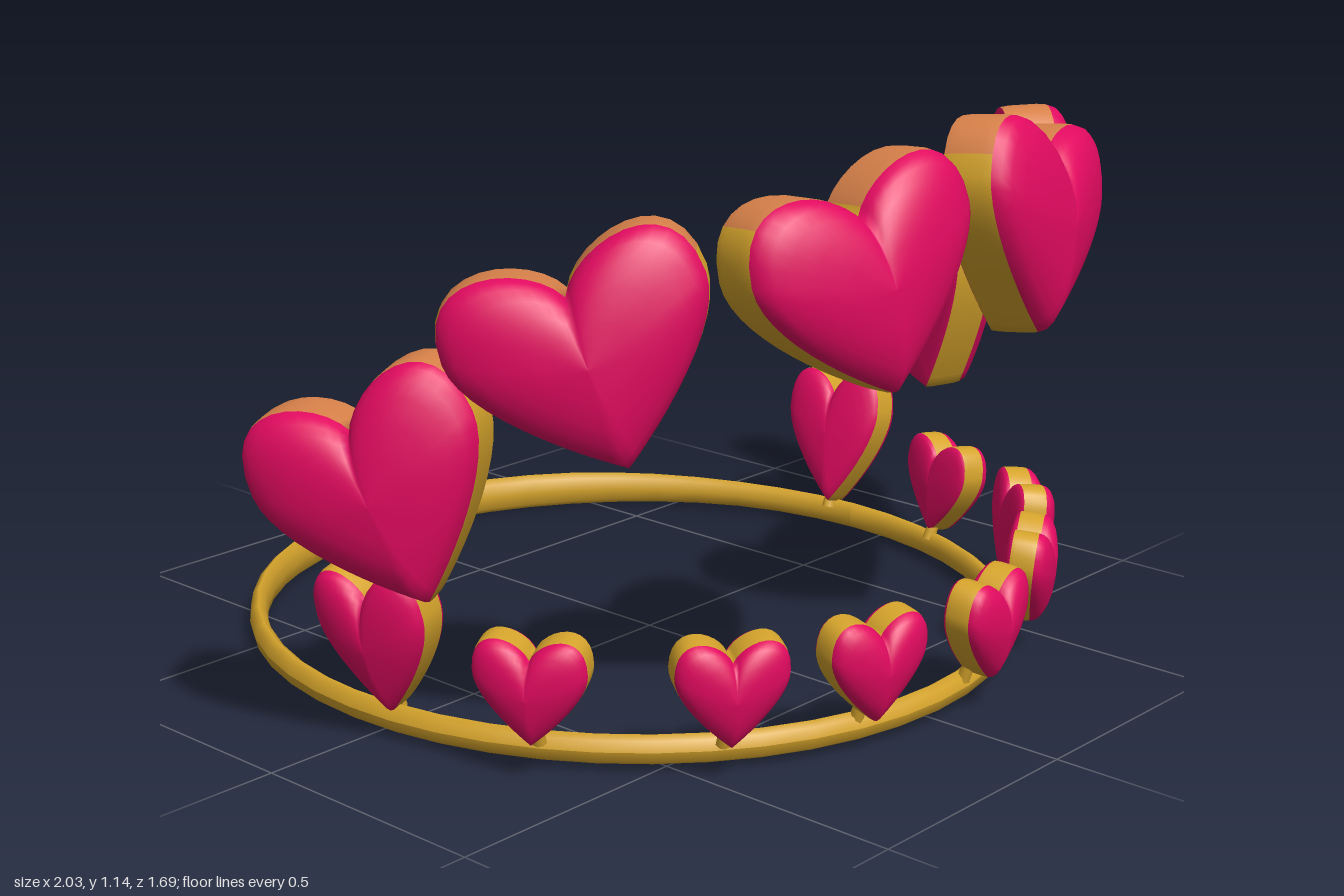
import * as THREE from 'three';

const flat = (name, color) => {
  const m = new THREE.MeshStandardMaterial({ color });
  m.name = name;
  return m;
};
const rad = THREE.MathUtils.degToRad;

// Heart outline, one unit wide and high, counter-clockwise
function heartOutline() {
  const s = new THREE.Shape();
  s.moveTo(0, 0.3);
  s.bezierCurveTo(0.08, 0.5, 0.5, 0.64, 0.5, 0.2);
  s.bezierCurveTo(0.5, -0.03, 0.17, -0.36, 0, -0.5);
  s.bezierCurveTo(-0.17, -0.36, -0.5, -0.03, -0.5, 0.2);
  s.bezierCurveTo(-0.5, 0.64, -0.08, 0.5, 0, 0.3);
  const pts = s.getPoints(12);
  pts.pop();
  return pts.reverse();
}
const OUTLINE = heartOutline();

// Skin between scaled copies of the outline, stations [scale, z] run back to front.
// Quads that face upward once the heart is rolled go to group 1, the rest to group 0.
function loft(w, h, roll, stations) {
  const n = OUTLINE.length, pos = [], sides = [], tops = [];
  for (const [s, z] of stations)
    for (const p of OUTLINE) pos.push(p.x * w * s, p.y * h * s, z);
  for (let j = 0; j < n; j++) {
    const k = (j + 1) % n;
    const dx = (OUTLINE[k].x - OUTLINE[j].x) * w, dy = (OUTLINE[k].y - OUTLINE[j].y) * h;
    const up = (dy * Math.sin(roll) - dx * Math.cos(roll)) / Math.hypot(dx, dy);
    for (let i = 0; i < stations.length - 1; i++) {
      const a = i * n + j, b = i * n + k, c = a + n, d = b + n;
      (up > 0.5 ? tops : sides).push(a, b, d, a, d, c);
    }
  }
  const g = new THREE.BufferGeometry();
  g.setAttribute('position', new THREE.Float32BufferAttribute(pos, 3));
  g.setIndex([...sides, ...tops]);
  g.addGroup(0, sides.length, 0);
  g.addGroup(sides.length, tops.length, 1);
  g.computeVertexNormals();
  return g;
}

// Heart with a rim of half-width band and domes rising by front and back
function makeHeart(name, [w, h], [band, front, back], roll, rimMats, pink) {
  const g = new THREE.Group();
  g.name = name;
  const dome = (s, rise) => rise * Math.sqrt(1 - s * s);
  const steps = [1, 0.97, 0.9, 0.78, 0.6, 0.35, 0];
  const add = (part, stations, mats) => {
    const m = new THREE.Mesh(loft(w, h, rad(roll), stations), mats);
    m.name = part;
    g.add(m);
  };
  add('heartFront', steps.map(s => [s, band + dome(s, front)]), [pink, pink]);
  add('heartRim', [[1, -band], [1.01, -band * 0.6], [1.01, band * 0.6], [1, band]], rimMats);
  add('heartBack', [...steps].reverse().map(s => [s, -band - dome(s, back)]), [pink, pink]);
  return g;
}

export function createModel() {
  const gold = flat('gold', 0xd6a42c);
  const copper = flat('copper', 0xd9824a);
  const pink = flat('pink', 0xe20a60);
  const model = new THREE.Group();
  model.name = 'heartTiara';

  // Head ring, taller toward the back
  const ringGeo = new THREE.TorusGeometry(0.75, 0.018, 8, 48);
  ringGeo.rotateX(Math.PI / 2);
  const p = ringGeo.attributes.position;
  for (let i = 0; i < p.count; i++) {
    const back = THREE.MathUtils.smoothstep(-p.getZ(i), 0.2, 0.75);
    p.setY(i, 0.045 + p.getY(i) * (1.6 + 0.65 * back));
    p.setZ(i, p.getZ(i) * 1.035 - 0.055);
  }
  ringGeo.computeVertexNormals();
  const ring = new THREE.Mesh(ringGeo, gold);
  ring.name = 'headRing';
  model.add(ring);

  const addHeart = (name, size, depth, [x, y, z], [yaw, lean, roll], rimTop) => {
    const heart = makeHeart(name, size, depth, roll, [gold, rimTop], pink);
    heart.position.set(x, y, z);
    heart.rotation.set(rad(lean), rad(yaw), rad(roll), 'YXZ');
    model.add(heart);
  };

  // Arch of large hearts: size, position, then yaw, lean and roll
  const arch = [
    [[0.48, 0.395], [-0.26, 0.89, 0.715], [-13, -5, 12]],
    [[0.5, 0.395], [0.23, 0.915, 0.715], [13, -5, -12]],
    [[0.47, 0.39], [-0.65, 0.79, 0.46], [-48, -3, 20]],
    [[0.48, 0.39], [0.645, 0.835, 0.425], [46, -3, -20]],
    [[0.44, 0.41], [-0.84, 0.535, 0.155], [-60, 0, 24]],
    [[0.46, 0.41], [0.87, 0.555, 0.03], [73, 0, -24]],
  ];
  for (const [size, pos, rot] of arch)
    addHeart('largeHeart', size, [0.046, 0.07, 0.015], pos, rot, copper);

  // Medium hearts joining the arch to the ring
  const mediumDepth = [0.028, 0.045, 0.03];
  addHeart('mediumHeart', [0.24, 0.3], mediumDepth, [0.77, 0.22, -0.12], [92, 13, -6], gold);
  addHeart('mediumHeart', [0.24, 0.285], mediumDepth, [-0.755, 0.21, 0.04], [-78, 11, 6], gold);

  // Small hearts along the front of the ring
  const small = [[-0.695, 0.36], [-0.47, 0.62], [-0.21, 0.73], [0.095, 0.76],
    [0.39, 0.65], [0.63, 0.47], [0.735, 0.2]];
  for (const [x, z] of small) {
    const yaw = THREE.MathUtils.radToDeg(Math.atan2(x, z + 0.05));
    addHeart('smallHeart', [0.21, 0.205], [0.024, 0.04, 0.02], [x, 0.178, z], [yaw, 5, 0], gold);
  }

  // Short slanted posts behind the hearts
  for (const [x, z] of [...small, [0.765, -0.12], [-0.755, 0.04]]) {
    const post = new THREE.Mesh(new THREE.CylinderGeometry(0.01, 0.014, 0.07, 8), gold);
    post.name = 'heartPost';
    post.position.set(x * 0.97, 0.09, (z + 0.055) * 0.97 - 0.055);
    post.rotation.set(0.35, Math.atan2(x, z + 0.055), 0, 'YXZ');
    model.add(post);
  }
  return model;
}
